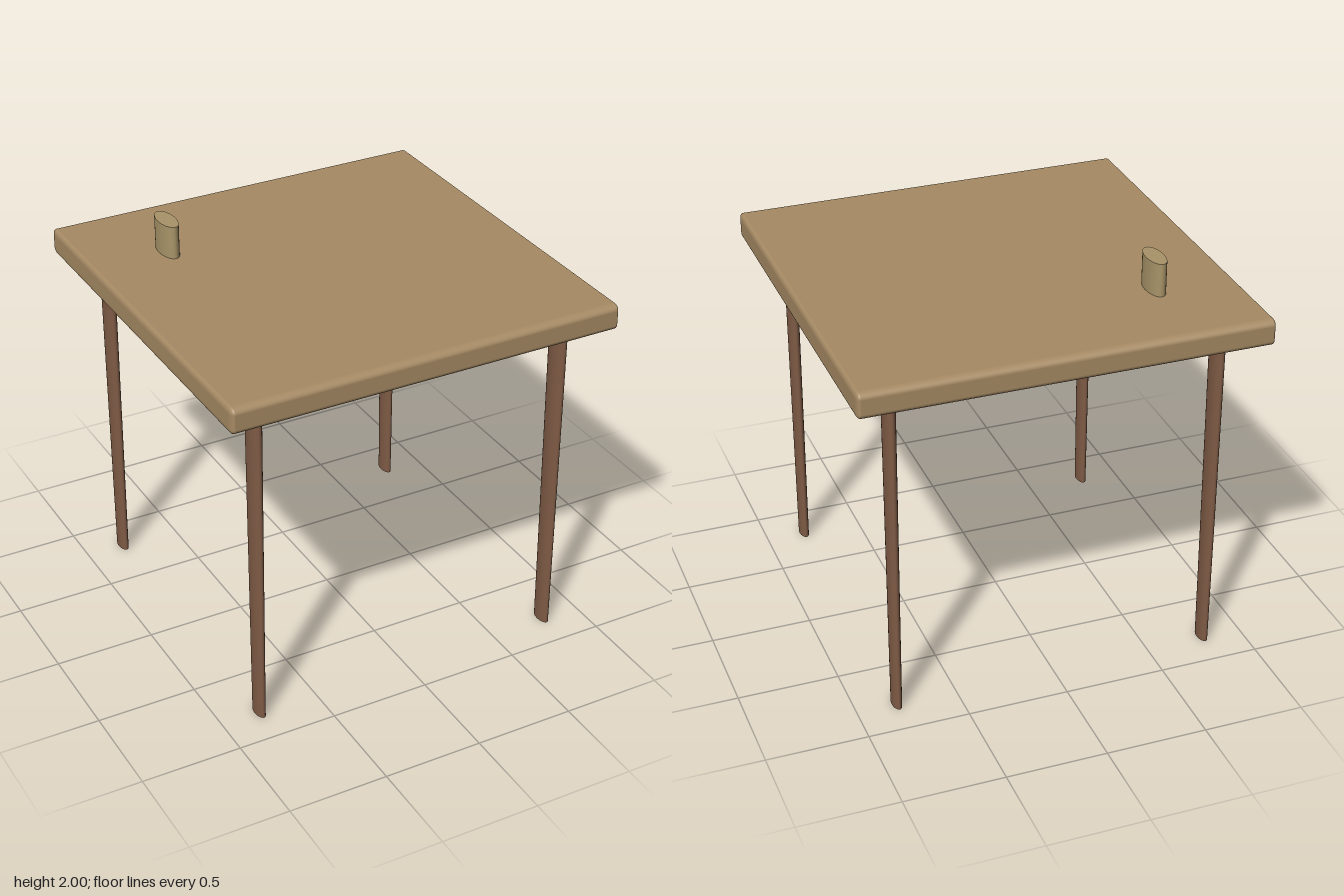
import * as THREE from 'three';
import { RoundedBoxGeometry } from 'three/addons/geometries/RoundedBoxGeometry.js';

const material = (color) => new THREE.MeshStandardMaterial({ color });

// Tapered post with an oval section, standing on height y
function ovalPost(name, rTop, rBottom, height, depthScale, mat, x, y, z) {
  const geometry = new THREE.CylinderGeometry(rTop, rBottom, height, 32);
  geometry.scale(1, 1, depthScale);
  const mesh = new THREE.Mesh(geometry, mat);
  mesh.name = name;
  mesh.position.set(x, y + height / 2, z);
  return mesh;
}

export function createModel() {
  const group = new THREE.Group();
  group.name = 'table';
  const topWood = material(0xa68a64);
  const legWood = material(0x7f5b45);
  const pegWood = material(0xa89468);

  // Tabletop: rounded slab whose rounding is stretched in y and z
  const radius = 0.018, sy = 1.67, sz = 2.22;
  const slab = new RoundedBoxGeometry(2, 0.133 / sy, 2 / sz, 5, radius);
  slab.scale(1, sy, sz);
  const tabletop = new THREE.Mesh(slab, topWood);
  tabletop.name = 'tabletop';
  tabletop.position.y = 1.767;
  group.add(tabletop);

  // Four legs, ending just below the tabletop
  for (const [side, x] of [['Left', 0.8], ['Right', -0.8]]) {
    for (const [end, z] of [['front', 0.8], ['back', -0.8]]) {
      group.add(ovalPost(`${end}${side}Leg`, 0.029, 0.0235, 1.667, 2.25, legWood, x, 0, z));
    }
  }

  // Oval peg on the top
  group.add(ovalPost('peg', 0.045, 0.045, 0.18, 2.22, pegWood, -0.603, 1.82, -0.5));

  return group;
}
